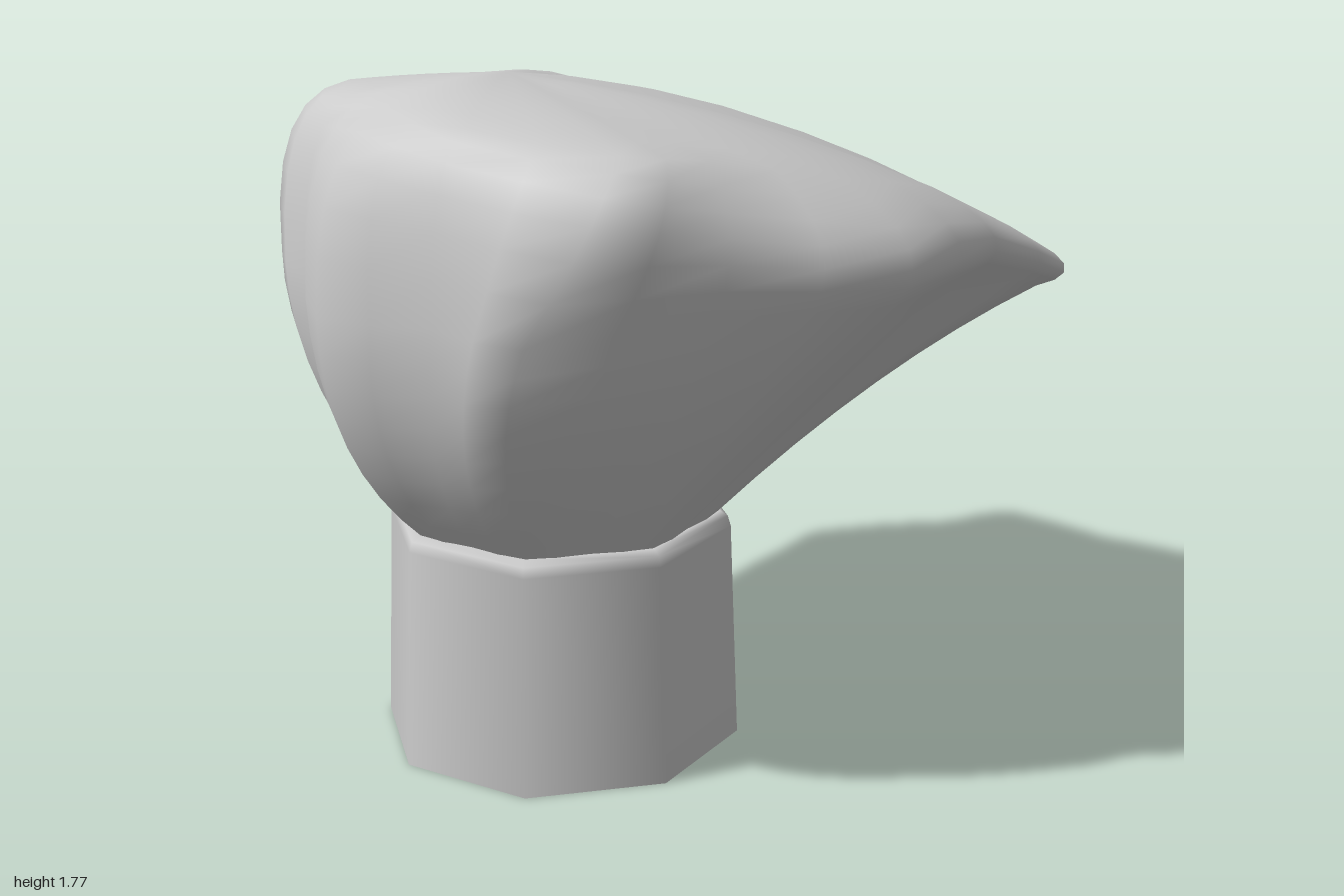
import * as THREE from 'three';

const V = (p) => new THREE.Vector3(...p);
const AXIS_X = -0.315; // the collar sits off-centre

// Per spoke, from the front tip (+x) round one side to the back (-x):
// [flare control, lower rim, lip control, top shoulder]
const SPOKES = [
  [[0.36, 1.02, 0], [0.95, 1.165, 0], [1.085, 1.21, 0], [0.88, 1.32, 0]],
  [[0.36, 1.02, 0.26], [0.82, 1.17, 0.34], [0.93, 1.22, 0.39], [0.75, 1.35, 0.32]],
  [[0.35, 1.0, 0.49], [0.74, 1.18, 0.65], [0.86, 1.23, 0.78], [0.68, 1.33, 0.6]],
  [[0.17, 1.0, 0.56], [0.44, 1.27, 0.72], [0.54, 1.36, 0.85], [0.36, 1.49, 0.66]],
  [[-0.17, 0.98, 0.7], [0, 1.3, 0.92], [0.06, 1.44, 1.06], [0, 1.57, 0.74]],
  [[-0.42, 0.98, 0.65], [-0.38, 1.3, 0.76], [-0.37, 1.5, 0.85], [-0.33, 1.64, 0.66]],
  [[-0.84, 0.96, 0.49], [-0.79, 1.25, 0.58], [-0.7, 1.62, 0.8], [-0.55, 1.67, 0.62]],
  [[-0.88, 0.88, 0.24], [-0.865, 1.25, 0.31], [-0.86, 1.65, 0.31], [-0.74, 1.7, 0.27]],
  [[-1.0, 0.86, 0], [-1, 1.23, 0], [-1, 1.7, 0], [-0.72, 1.74, 0]],
];
const CROWN = V([-0.45, 1.765, 0]);

// Points up one spoke: neck -> rim -> shoulder -> towards the crown
function spokeProfile(i) {
  const [flare, rim, lip, top] = SPOKES[i].map(V);
  const a = (i / 8) * Math.PI;
  const r = i % 2 ? 0.38 : 0.41;
  const neck = new THREE.Vector3(AXIS_X + r * Math.cos(a), 0.61, r * Math.sin(a));
  const pts = [
    ...new THREE.QuadraticBezierCurve3(neck, flare, rim).getPoints(8),
    ...new THREE.QuadraticBezierCurve3(rim, lip, top).getPoints(6).slice(1),
  ];
  const bow = Math.abs(top.x - CROWN.x) * 0.2;
  for (let k = 1; k < 6; k++) {
    const s = k / 6;
    const p = top.clone().lerp(CROWN, s);
    p.y += bow * s * (1 - s);
    pts.push(p);
  }
  return pts;
}

// Lobed head: mirrored spokes, each ring rounded by a closed curve
function headGeometry() {
  const half = SPOKES.map((_, i) => spokeProfile(i));
  const n = 32, rows = half[0].length;
  const pos = [], idx = [];
  for (let r = 0; r < rows; r++) {
    const side = half.map((profile) => profile[r]);
    const mirrored = side.slice(1, 8).reverse().map((p) => new THREE.Vector3(p.x, p.y, -p.z));
    const ring = new THREE.CatmullRomCurve3([...side, ...mirrored], true, 'catmullrom', 0.5);
    for (let j = 0; j < n; j++) pos.push(...ring.getPoint(j / n).toArray());
  }
  pos.push(...CROWN.toArray());
  for (let r = 0; r < rows; r++) {
    for (let j = 0; j < n; j++) {
      const a = r * n + j, b = r * n + ((j + 1) % n);
      if (r === rows - 1) idx.push(a, rows * n, b);
      else idx.push(a, a + n, b, b, a + n, b + n);
    }
  }
  const g = new THREE.BufferGeometry();
  g.setAttribute('position', new THREE.Float32BufferAttribute(pos, 3));
  g.setIndex(idx);
  g.computeVertexNormals();
  return g;
}

export function createModel() {
  const group = new THREE.Group();
  const material = new THREE.MeshStandardMaterial({ color: 0xcccccc, side: THREE.DoubleSide });

  const head = new THREE.Mesh(headGeometry(), material);
  head.name = 'head';

  // Eight-sided open collar with a softened top edge
  const profile = [[0.475, 0], [0.453, 0.58], [0.445, 0.607], [0.425, 0.62], [0.37, 0.615]];
  const collar = new THREE.Mesh(
    new THREE.LatheGeometry(profile.map(([x, y]) => new THREE.Vector2(x, y)), 8),
    material,
  );
  collar.name = 'collar';
  collar.position.x = AXIS_X;

  group.add(head, collar);
  return group;
}
